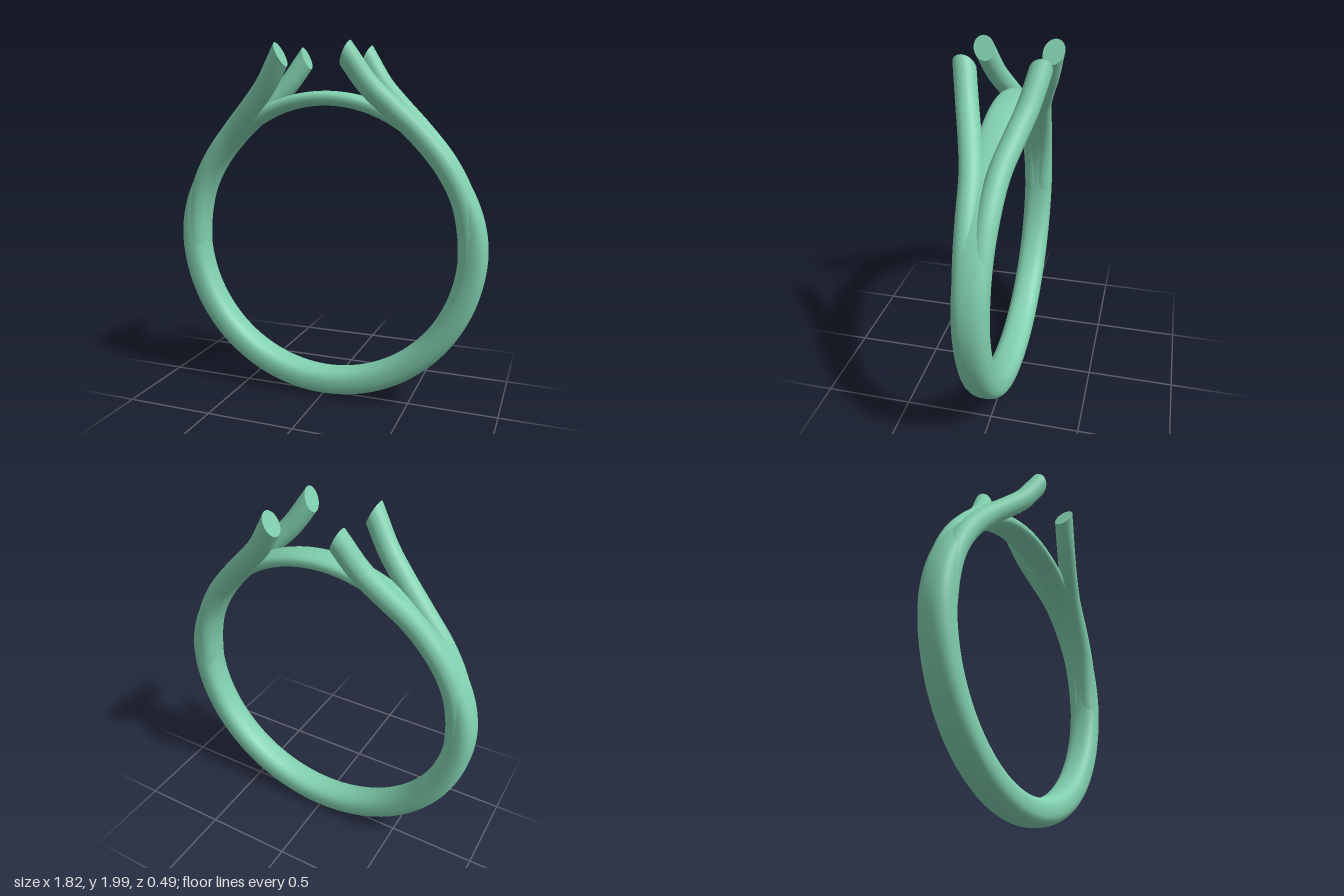
import * as THREE from 'three';

const material = new THREE.MeshStandardMaterial({ color: 0x80cfae });
const INNER_R = 0.755, CENTRE_Y = 0.91;
const smooth = THREE.MathUtils.smoothstep, lerp = THREE.MathUtils.lerp;
const signedPow = (v, p) => Math.sign(v) * Math.pow(Math.abs(v), p);

// Grid of (rows + 1) x (cols + 1) points joined into a smooth surface
function gridGeometry(rows, cols, point) {
  const g = new THREE.PlaneGeometry(1, 1, cols, rows);
  const pos = g.attributes.position, p = new THREE.Vector3();
  for (let i = 0; i <= rows; i++) for (let j = 0; j <= cols; j++) {
    point(i, j, p);
    pos.setXYZ(i * (cols + 1) + j, p.x, p.y, p.z);
  }
  // share the vertices along closed seams so that the shading is continuous
  const index = g.index.array;
  for (let k = 0; k < index.length; k++) {
    const row = Math.floor(index[k] / (cols + 1)), col = index[k] % (cols + 1);
    index[k] = row * (cols + 1) + (col % cols);
  }
  g.computeVertexNormals();
  return g;
}

// Ring with a rounded section, thinning to a slim bridge at the top
function createBand() {
  const rows = 144, cols = 32;
  const g = gridGeometry(rows, cols, (i, j, p) => {
    const a = -Math.PI / 2 + ((i % rows) / rows) * Math.PI * 2;
    const b = (j / cols) * Math.PI * 2;
    const elevation = THREE.MathUtils.radToDeg(Math.asin(Math.sin(a)));
    const thin = smooth(elevation, -5, 55);
    const half = lerp(0.155, 0.08, thin) / 2;
    const width = lerp(0.089, 0.084, thin);
    const r = INNER_R + half + half * signedPow(Math.cos(b), 0.8);
    p.set(Math.cos(a) * r, CENTRE_Y + Math.sin(a) * r, -width * signedPow(Math.sin(b), 0.8));
  });
  // close the ring on its first row
  const index = g.index.array, last = rows * (cols + 1);
  for (let k = 0; k < index.length; k++) if (index[k] >= last) index[k] -= last;
  g.computeVertexNormals();
  return new THREE.Mesh(g, material);
}

// Prong that splits from the shoulder and ends in a slanted cut
function createProng(sx, sz) {
  const path = new THREE.CatmullRomCurve3([
    [0.815, 0.85, 0.03], [0.805, 1.02, 0.033], [0.765, 1.19, 0.038], [0.672, 1.362, 0.047],
    [0.53, 1.53, 0.066], [0.394, 1.662, 0.108], [0.285, 1.775, 0.148], [0.18, 1.93, 0.187],
  ].map(([x, y, z]) => new THREE.Vector3(x * sx, y, z * sz)));
  const rows = 28, cols = 28, radius = 0.057;
  const tip = path.getPointAt(1), end = path.getTangentAt(1);
  const cut = new THREE.Vector3(-0.91 * sx, 0.42, 0);
  const rim = [];
  const body = gridGeometry(rows, cols, (i, j, p) => {
    const u = i / rows, t = path.getTangentAt(u);
    const side = new THREE.Vector3(0, 0, 1).addScaledVector(t, -t.z).normalize();
    const up = new THREE.Vector3().crossVectors(side, t);
    const b = ((j % cols) / cols) * Math.PI * 2;
    p.copy(path.getPointAt(u)).addScaledVector(up, Math.cos(b) * radius * 1.02)
      .addScaledVector(side, Math.sin(b) * radius);
    if (i === rows) {
      const d = cut.dot(p.clone().sub(tip));
      p.addScaledVector(end, -d / cut.dot(end));
      if (j < cols) rim.push(p.clone());
    }
  });

  // Flat face on the cut, with its own vertices for a sharp edge
  const cap = new THREE.BufferGeometry().setFromPoints([tip, ...rim]);
  const faces = [];
  for (let j = 0; j < cols; j++) faces.push(0, 1 + j, 1 + ((j + 1) % cols));
  cap.setIndex(faces);
  cap.computeVertexNormals();

  // Turn faces outwards where needed
  const outward = (g, k, dir) => {
    const n = new THREE.Vector3().fromBufferAttribute(g.attributes.normal, k);
    if (n.dot(dir) < 0) {
      const a = g.index.array;
      for (let f = 0; f < a.length; f += 3) [a[f], a[f + 1]] = [a[f + 1], a[f]];
      g.computeVertexNormals();
    }
  };
  const sample = 10 * (cols + 1);
  outward(body, sample, new THREE.Vector3().fromBufferAttribute(body.attributes.position, sample)
    .sub(path.getPointAt(10 / rows)));
  outward(cap, 0, cut);

  const prong = new THREE.Group();
  const shaft = new THREE.Mesh(body, material), seat = new THREE.Mesh(cap, material);
  shaft.name = 'prongShaft';
  seat.name = 'prongCutFace';
  prong.add(shaft, seat);
  return prong;
}

export function createModel() {
  const ring = new THREE.Group();
  ring.name = 'ring';
  const band = createBand();
  band.name = 'band';
  // Check the winding on the outermost point of the first section
  const n = band.geometry.attributes.normal;
  if (n.getY(0) > 0) {
    const a = band.geometry.index.array;
    for (let f = 0; f < a.length; f += 3) [a[f], a[f + 1]] = [a[f + 1], a[f]];
    band.geometry.computeVertexNormals();
  }
  ring.add(band);
  for (const sx of [1, -1]) for (const sz of [1, -1]) {
    const prong = createProng(sx, sz);
    prong.name = `${sz > 0 ? 'front' : 'back'}${sx > 0 ? 'Left' : 'Right'}Prong`;
    ring.add(prong);
  }
  return ring;
}
